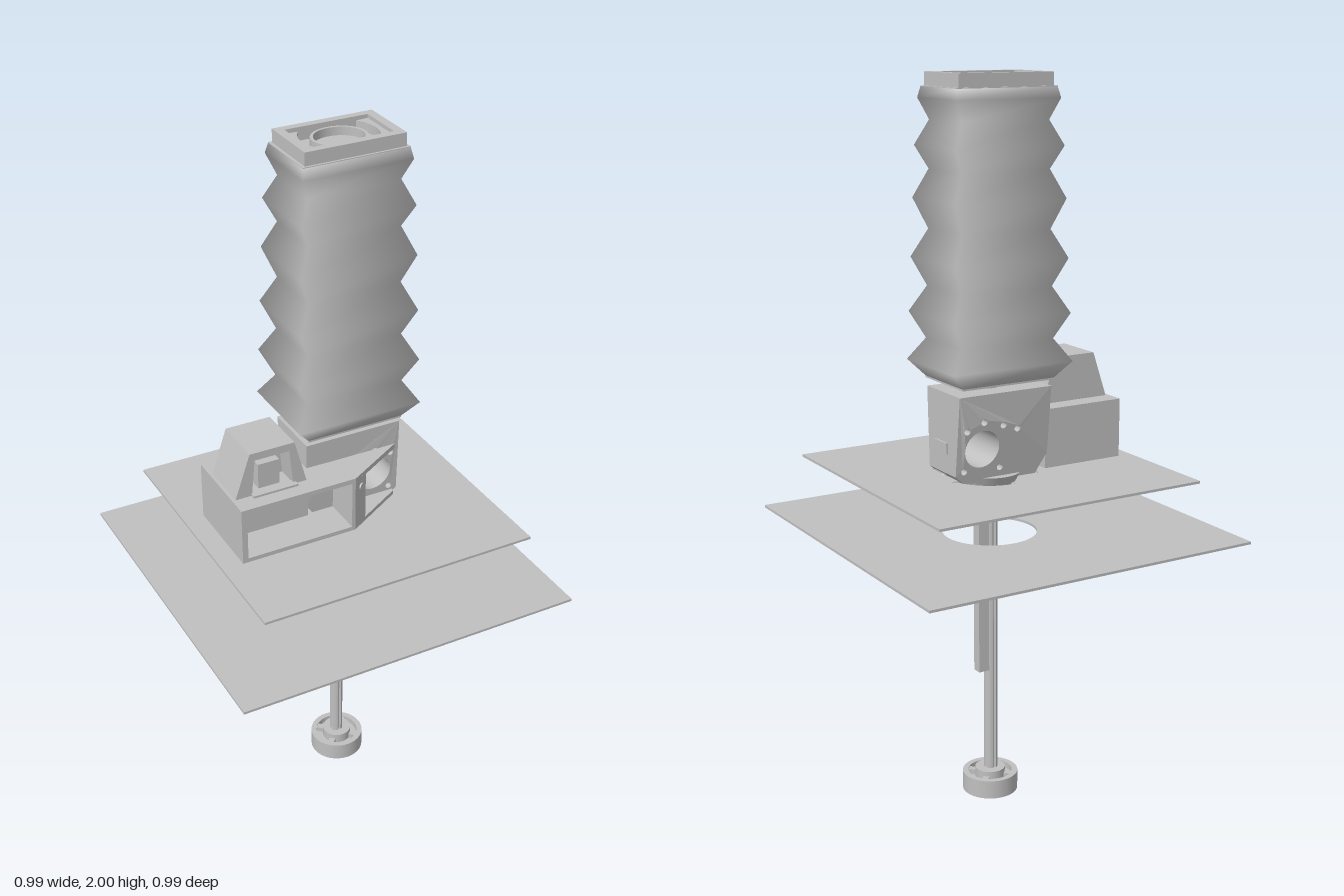
import * as THREE from 'three';

const grey = new THREE.MeshStandardMaterial({ color: 0xc0c0c0, side: THREE.DoubleSide });
grey.name = 'machine grey';

const AX = 0.057, AZ = -0.044; // spindle axis

function add(group, name, geometry, x = 0, y = 0, z = 0) {
  const mesh = new THREE.Mesh(geometry, grey);
  mesh.name = name;
  mesh.position.set(x, y, z);
  group.add(mesh);
  return mesh;
}

// box given by its limits
function block(group, name, x0, x1, y0, y1, z0, z1) {
  return add(group, name, new THREE.BoxGeometry(x1 - x0, y1 - y0, z1 - z0),
    (x0 + x1) / 2, (y0 + y1) / 2, (z0 + z1) / 2);
}

const polygon = pts => new THREE.Shape(pts.map(p => new THREE.Vector2(p[0], p[1])));
const rect = (x0, x1, y0, y1) => [[x0, y0], [x1, y0], [x1, y1], [x0, y1]];

function circleHole(shape, x, y, r) {
  const hole = new THREE.Path();
  hole.absarc(x, y, r, 0, Math.PI * 2, true);
  shape.holes.push(hole);
}

function extrude(shape, depth) {
  return new THREE.ExtrudeGeometry(shape, { depth, bevelEnabled: false, curveSegments: 24 });
}

// extrude upward a shape drawn in x and -z
function extrudeUp(shape, height) {
  return extrude(shape, height).rotateX(-Math.PI / 2);
}

function lathe(pts) {
  // separate segments keep the turned edges crisp
  const profile = pts.flatMap((p, i) => i && i < pts.length - 1 ? [p, p] : [p]);
  return new THREE.LatheGeometry(profile.map(p => new THREE.Vector2(p[0], p[1])), 40);
}

// square sheet with a round opening on the spindle axis
function sheet(group, name, x0, x1, z0, z1, y) {
  const shape = polygon(rect(x0, x1, -z1, -z0));
  circleHole(shape, AX, -AZ, 0.13);
  add(group, name, extrudeUp(shape, 0.007), 0, y, 0);
}

// pleated rectangular sleeve: [y, half width, half depth]
function bellowsGeometry() {
  const rings = [
    [1.205, 0.14, 0.1], [1.25, 0.181, 0.128], [1.31, 0.142, 0.092], [1.38, 0.176, 0.124],
    [1.45, 0.138, 0.09], [1.525, 0.17, 0.12], [1.6, 0.134, 0.087], [1.68, 0.165, 0.115],
    [1.755, 0.132, 0.085], [1.815, 0.16, 0.111], [1.88, 0.13, 0.083], [1.935, 0.153, 0.103],
    [1.963, 0.148, 0.094],
  ];
  const pos = [], index = [];
  rings.forEach(([y, w, d], i) => {
    for (const [sx, sz] of [[1, 1], [1, -1], [-1, -1], [-1, 1]]) pos.push(AX + sx * w, y, AZ + sz * d);
    if (!i) return;
    for (let k = 0; k < 4; k++) {
      const a = (i - 1) * 4 + k, b = (i - 1) * 4 + (k + 1) % 4;
      index.push(a, b, b + 4, a, b + 4, a + 4);
    }
  });
  const g = new THREE.BufferGeometry();
  g.setAttribute('position', new THREE.Float32BufferAttribute(pos, 3));
  g.setIndex(index);
  g.computeVertexNormals();
  return g;
}

// head housing: bored through front to back, back face leaning in below
function housingGeometry() {
  const shape = polygon([[-0.083, 1.18], [-0.083, 0.99], [-0.05, 0.935], [0.17, 0.935], [0.2, 0.96], [0.2, 1.18]]);
  circleHole(shape, 0.125, 1.03, 0.052);
  for (const [x, y] of [[0.02, 1.075], [0.175, 1.085], [0.175, 0.972], [0.065, 0.97], [0.065, 1.09], [0.125, 1.105]])
    circleHole(shape, x, y, 0.009);
  const g = extrude(shape, 0.175).translate(0, 0, -0.133);
  const p = g.attributes.position;
  for (let i = 0; i < p.count; i++) {
    const t = Math.max(0, 1.11 - p.getY(i)) / 0.17;
    if (p.getZ(i) < -0.1) p.setZ(i, -0.133 + 0.028 * t);
    else p.setZ(i, 0.042 - 0.01 * t);
  }
  g.computeVertexNormals();
  return g;
}

// grooved spindle section
function flutedGeometry(r, height) {
  const pts = [];
  for (let i = 0; i < 32; i++) {
    const a = (i / 32) * Math.PI * 2, k = i % 8 < 2 ? r * 0.78 : r;
    pts.push([Math.cos(a) * k, Math.sin(a) * k]);
  }
  return extrudeUp(polygon(pts), height);
}

export function createModel() {
  const model = new THREE.Group();
  model.name = 'machineHead';

  // mounting sheets
  sheet(model, 'lowerSheet', -0.493, 0.493, -0.493, 0.493, 0.765);
  sheet(model, 'upperSheet', -0.38, 0.416, -0.408, 0.387, 0.931);

  // bellows and its top cap
  add(model, 'bellows', bellowsGeometry());
  block(model, 'bellowsBase', AX - 0.14, AX + 0.14, 1.2, 1.207, AZ - 0.1, AZ + 0.1);
  const frame = polygon(rect(AX - 0.14, AX + 0.14, -AZ - 0.088, -AZ + 0.088));
  frame.holes.push(new THREE.Path(rect(AX - 0.116, AX + 0.116, -AZ - 0.066, -AZ + 0.066).map(p => new THREE.Vector2(...p))));
  add(model, 'capFrame', extrudeUp(frame, 0.04), 0, 1.96, 0);
  block(model, 'capFloor', AX - 0.148, AX + 0.148, 1.957, 1.965, AZ - 0.094, AZ + 0.094);
  for (const s of [-1, 1]) {
    const edge = [];
    for (let i = -6; i <= 6; i++) {
      const a = i * 0.11;
      edge.push([s * 0.103 * Math.cos(a), 0.103 * Math.sin(a)]);
    }
    edge.push([s * 0.116, 0.066], [s * 0.116, -0.066]);
    add(model, 'capCorner', extrudeUp(polygon(edge), 0.025), AX, 1.965, AZ);
  }
  const ring = lathe([[0.066, 0], [0.066, 0.022], [0.074, 0.022], [0.074, 0]]);
  ring.scale(1, 1, 0.88);
  add(model, 'capRing', ring, AX, 1.965, AZ);

  // head housing
  add(model, 'housing', housingGeometry());
  add(model, 'neck', new THREE.CylinderGeometry(0.032, 0.032, 0.03, 32), 0.067, 1.19, AZ);
  block(model, 'sideLatch', 0.198, 0.205, 1.015, 1.045, -0.068, -0.002);

  // drive case: trays, rear block and walls around an open front
  const outline = [[-0.325, 0.11], [-0.325, -0.145], [0.01, -0.145], [0.187, -0.042], [0.187, 0.03], [-0.08, 0.03], [-0.08, 0.11]];
  add(model, 'caseFloor', extrudeUp(polygon(outline), 0.012), 0, 0.945, 0);
  add(model, 'caseLid', extrudeUp(polygon(outline), 0.014), 0, 1.096, 0);
  block(model, 'caseRear', -0.325, -0.08, 0.945, 1.11, -0.11, 0.04);
  block(model, 'caseSide', -0.325, -0.309, 0.945, 1.11, 0.03, 0.145);
  const wedge = polygon([[0, -0.145], [0.01, -0.145], [0.055, -0.119], [0.055, -0.03], [0, -0.03]]);
  add(model, 'caseCorner', extrudeUp(wedge, 0.15), 0, 0.952, 0);
  const dot = add(model, 'cornerScrew', new THREE.CylinderGeometry(0.01, 0.01, 0.006, 16), 0.035, 1.07, 0.132);
  dot.rotation.set(Math.PI / 2, 0, -Math.PI / 6, 'YXZ');

  // motor cover with a recessed front window
  const cover = [[-0.316, 1.108], [-0.108, 1.108], [-0.143, 1.237], [-0.272, 1.237]];
  add(model, 'motorCover', extrude(polygon(cover), 0.08), 0, 0, -0.055);
  const coverFront = polygon(cover);
  coverFront.holes.push(new THREE.Path([[-0.268, 1.112], [-0.258, 1.215], [-0.158, 1.215], [-0.148, 1.112]].map(p => new THREE.Vector2(...p))));
  add(model, 'motorCoverFront', extrude(coverFront, 0.065), 0, 0, 0.025);
  block(model, 'motor', -0.24, -0.178, 1.11, 1.185, 0.02, 0.07);
  block(model, 'motorLedge', -0.27, -0.14, 1.1, 1.116, 0.08, 0.105);

  // collar under the housing
  add(model, 'collar', lathe([
    [0, 0.945], [0.085, 0.945], [0.072, 0.92], [0.06, 0.917], [0.06, 0.91], [0.071, 0.907], [0.071, 0.898],
    [0.058, 0.894], [0.07, 0.889], [0.07, 0.88], [0.04, 0.873], [0, 0.873],
  ]), AX, 0, AZ);
  add(model, 'collarBrace', extrude(polygon([[0.1, 0.94], [0.13, 0.895], [0.195, 0.94]]), 0.07), 0, 0, -0.08);

  // spindle, feed bar and foot
  add(model, 'spindle', flutedGeometry(0.019, 0.85), 0.055, 0.04, AZ);
  block(model, 'feedBar', 0.06, 0.1, 0.365, 0.9, AZ - 0.014, AZ + 0.014);
  add(model, 'foot', lathe([
    [0, 0], [0.078, 0], [0.078, 0.053], [0.062, 0.053], [0.062, 0.035], [0.042, 0.035], [0.042, 0.064], [0, 0.064],
  ]), AX, 0, AZ);
  for (let i = 0; i < 4; i++) {
    const a = i * Math.PI / 2 + Math.PI / 4;
    const rib = add(model, 'footRib', new THREE.BoxGeometry(0.03, 0.02, 0.018),
      AX + Math.cos(a) * 0.053, 0.04, AZ + Math.sin(a) * 0.053);
    rib.rotation.y = -a;
  }
  return model;
}
